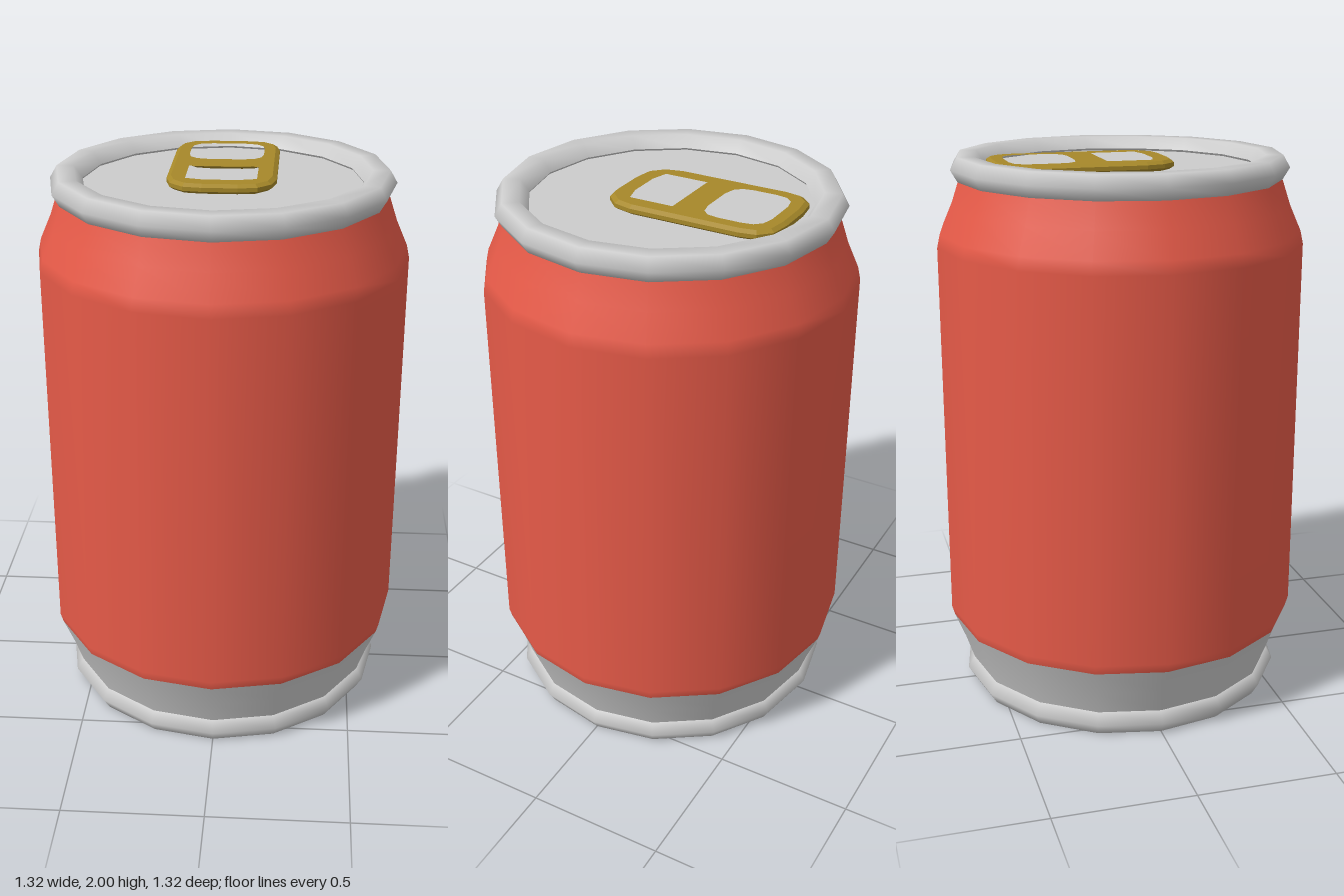
import * as THREE from 'three';

const SIDES = 16;
const metal = new THREE.MeshStandardMaterial({ color: 0xcccccc });
const red = new THREE.MeshStandardMaterial({ color: 0xe65a48 });
const gold = new THREE.MeshStandardMaterial({ color: 0xa68829 });

function addMesh(group, name, geometry, material) {
  const mesh = new THREE.Mesh(geometry, material);
  mesh.name = name;
  group.add(mesh);
  return mesh;
}

// Surface of revolution from [radius, height] pairs, bottom to top outside
function lathe(points) {
  return new THREE.LatheGeometry(points.map(([r, y]) => new THREE.Vector2(r, y)), SIDES);
}

// Closed six-sided ring profile centred on height y
function rim(y) {
  const h = 0.0425;
  return lathe([
    [0.49, y], [0.52, y - h], [0.58, y - h], [0.605, y],
    [0.58, y + h], [0.52, y + h], [0.49, y],
  ]);
}

// Mirrors the right half of an outline (given front to back) across x = 0
function mirrored(PathType, half) {
  const left = half.map(([x, z]) => [-x, z]).reverse();
  return new PathType([...half, ...left].map(([x, z]) => new THREE.Vector2(x, z)));
}

// Pull tab: bevelled plate with a finger hole and a square cut-out
function tabGeometry() {
  const plate = mirrored(THREE.Shape, [
    [0.06, 0.16], [0.12, 0.15], [0.16, 0.11], [0.175, 0.05],
    [0.175, -0.35], [0.165, -0.405], [0.13, -0.44], [0.06, -0.45],
  ]);
  plate.holes.push(
    mirrored(THREE.Path, [
      [0.06, -0.175], [0.105, -0.185], [0.128, -0.21], [0.135, -0.25],
      [0.135, -0.335], [0.128, -0.375], [0.105, -0.4], [0.06, -0.41],
    ]),
    mirrored(THREE.Path, [[0.06, 0.105], [0.123, 0.088], [0.123, -0.075]]),
  );
  const geometry = new THREE.ExtrudeGeometry(plate, {
    depth: 0.014, bevelEnabled: true, bevelThickness: 0.01, bevelSize: 0.015, bevelSegments: 1,
  });
  geometry.rotateX(Math.PI / 2);
  return geometry;
}

export function createModel() {
  const can = new THREE.Group();
  can.name = 'drinkCan';

  // Painted wall with tapered shoulder
  addMesh(can, 'body', lathe([
    [0.65, 0.275], [0.66, 0.31], [0.66, 1.69], [0.65, 1.735], [0.61, 1.825], [0.58, 1.915],
  ]), red);

  // Bare metal taper under the paint
  addMesh(can, 'baseTaper', lathe([[0.58, 0.085], [0.61, 0.175], [0.65, 0.275]]), metal);

  // Rolled rims
  addMesh(can, 'topRim', rim(1.9575), metal);
  addMesh(can, 'bottomRim', rim(0.0425), metal);

  // Flat end discs
  for (const [name, y, turn] of [['lid', 1.95, -1], ['base', 0.04, 1]]) {
    const disc = addMesh(can, name, new THREE.CircleGeometry(0.495, SIDES), metal);
    disc.rotation.x = turn * Math.PI / 2;
    disc.position.y = y;
  }

  const tab = addMesh(can, 'pullTab', tabGeometry(), gold);
  tab.position.y = 1.976;

  return can;
}
